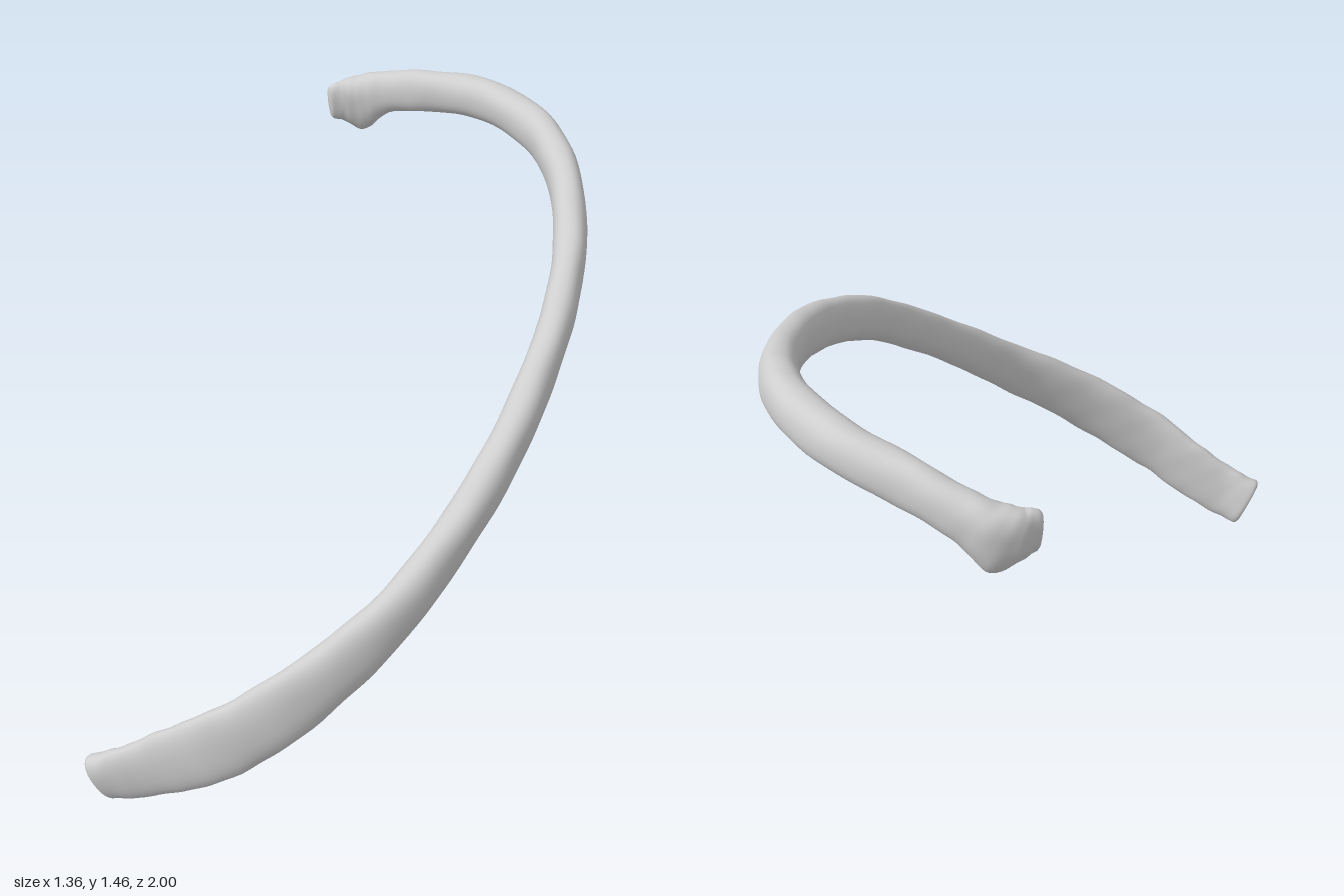
import * as THREE from 'three';

// Stations along the rib, front end to back end:
// x, y, z of the centre, half thickness, half height, roll
const stations = [
  [0.028, 0.086, 0.95, 0.042, 0.088, -0.2],
  [0.10, 0.12, 0.912, 0.034, 0.094, -0.08],
  [0.20, 0.186, 0.856, 0.033, 0.102, 0],
  [0.305, 0.268, 0.80, 0.035, 0.107, 0.05],
  [0.412, 0.37, 0.708, 0.038, 0.104, 0.1],
  [0.515, 0.503, 0.568, 0.042, 0.093, 0.13],
  [0.59, 0.645, 0.39, 0.046, 0.078, 0.1],
  [0.622, 0.80, 0.20, 0.05, 0.067, 0.03],
  [0.62, 0.953, 0.0, 0.05, 0.064, 0],
  [0.58, 1.092, -0.20, 0.047, 0.064, 0],
  [0.503, 1.197, -0.40, 0.046, 0.066, 0],
  [0.383, 1.284, -0.60, 0.047, 0.067, 0.08],
  [0.20, 1.352, -0.80, 0.049, 0.068, 0.12],
  [0.03, 1.39, -0.90, 0.052, 0.066, 0.12],
  [-0.20, 1.402, -0.945, 0.053, 0.063, 0.1],
  [-0.40, 1.378, -0.915, 0.045, 0.065, 0.05],
  [-0.54, 1.346, -0.882, 0.044, 0.064, 0],
  [-0.61, 1.324, -0.85, 0.048, 0.064, 0],
  [-0.646, 1.312, -0.812, 0.037, 0.062, 0],
  [-0.664, 1.308, -0.78, 0.022, 0.058, 0],
];
const last = stations.length - 1;
const SIDES = 28, STEPS = 150;

function ribGeometry() {
  const path = new THREE.CatmullRomCurve3(stations.map(s => new THREE.Vector3(s[0], s[1], s[2])));
  const size = new THREE.CatmullRomCurve3(
    stations.map(s => new THREE.Vector3(s[3], s[4], s[5])), false, 'catmullrom', 0.5);

  // Rings as [t, scale, push along the path]: cupped front end, shaft, domed back end
  const rings = [[0, 0.001, 0.0], [0, 0.35, -0.002], [0, 0.65, -0.009], [0, 0.85, -0.012], [0, 0.95, -0.008]];
  for (let i = 0; i <= STEPS; i++) rings.push([i / STEPS, 1, 0]);
  rings.push([1, 0.94, 0.008], [1, 0.8, 0.013], [1, 0.45, 0.016], [1, 0.001, 0.016]);

  const up = new THREE.Vector3(0, 1, 0);
  const round = v => Math.sign(v) * Math.pow(Math.abs(v), 0.88);
  const positions = [], index = [];
  for (const [t, scale, push] of rings) {
    const centre = path.getPoint(t), s = size.getPoint(t), k = t * last;
    const along = path.getTangent(t);
    const out = along.clone().cross(up).normalize();
    const high = out.clone().cross(along);
    const n = out.clone().multiplyScalar(Math.cos(s.z)).addScaledVector(high, Math.sin(s.z));
    const b = high.clone().multiplyScalar(Math.cos(s.z)).addScaledVector(out, -Math.sin(s.z));
    // Small knob under the back end
    const knob = 0.82 * Math.exp(-Math.pow((k - last + 1.75) / 0.85, 2));
    for (let j = 0; j < SIDES; j++) {
      const a = j / SIDES * Math.PI * 2, c = round(Math.cos(a)), h = round(Math.sin(a));
      const bump = 1 + 0.015 * Math.sin(k * 5.3 + 2 * a) + 0.01 * Math.sin(k * 9.1 - 3 * a);
      const low = h < 0 ? 1 + knob : 1;
      const p = centre.clone().addScaledVector(along, push)
        .addScaledVector(n, c * s.x * scale * bump)
        .addScaledVector(b, h * s.y * scale * bump * low);
      positions.push(p.x, p.y, p.z);
    }
  }
  for (let i = 0; i < rings.length - 1; i++) {
    for (let j = 0; j < SIDES; j++) {
      const a = i * SIDES + j, b = i * SIDES + (j + 1) % SIDES;
      index.push(a, a + SIDES, b, b, a + SIDES, b + SIDES);
    }
  }
  const geometry = new THREE.BufferGeometry();
  geometry.setAttribute('position', new THREE.Float32BufferAttribute(positions, 3));
  geometry.setIndex(index);
  geometry.computeVertexNormals();
  return geometry;
}

export function createModel() {
  const bone = new THREE.MeshStandardMaterial({ color: 0xcecece });
  bone.name = 'bone grey';
  const rib = new THREE.Mesh(ribGeometry(), bone);
  rib.name = 'ribBone';
  const group = new THREE.Group();
  group.name = 'rib';
  group.add(rib);
  return group;
}
